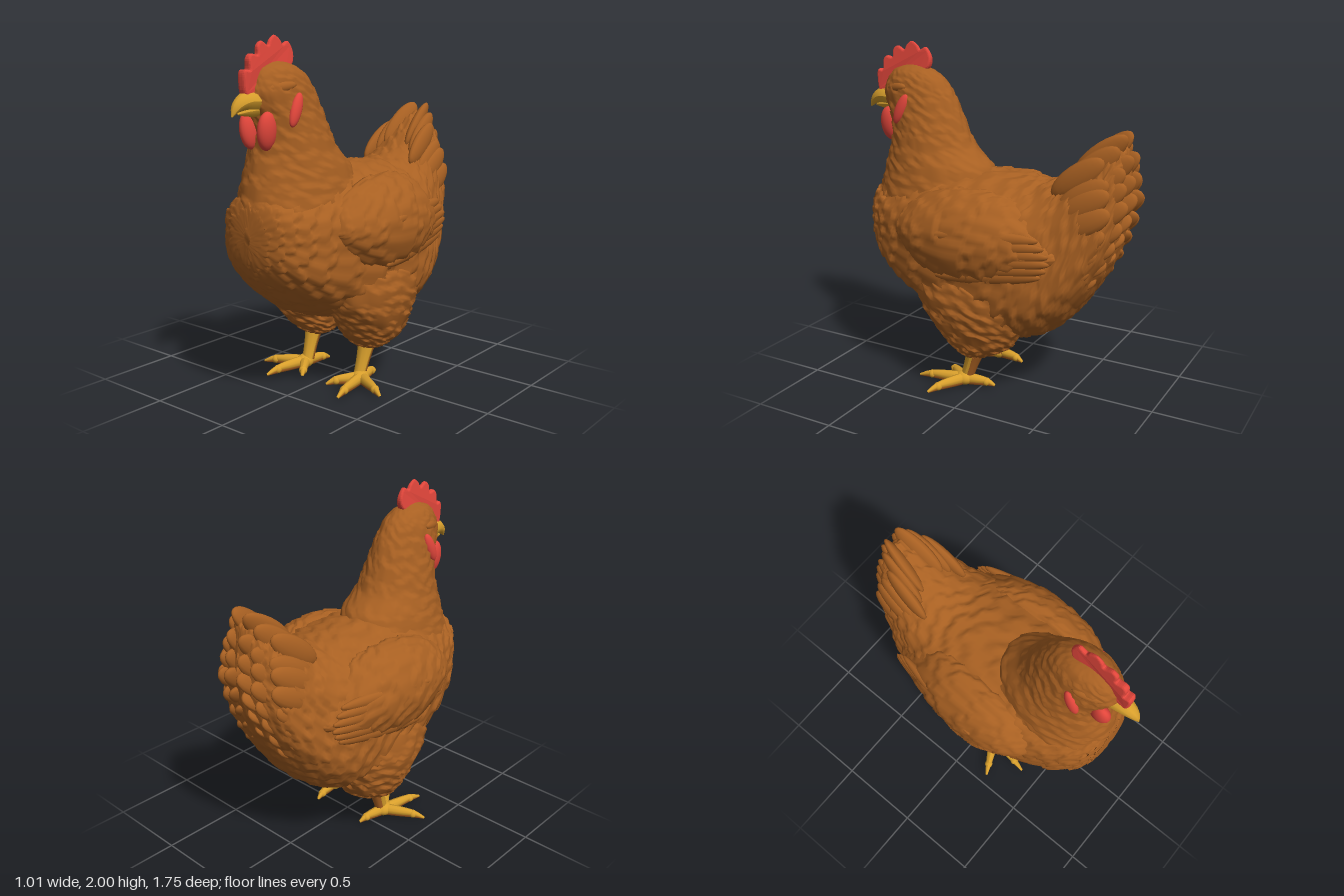
import * as THREE from 'three';

const flat = (name, color) => {
  const m = new THREE.MeshStandardMaterial({ color });
  m.name = name;
  return m;
};

// Staggered, slightly wandering overlapping scallops, 0..1
function scallop(along, around, rows, cols) {
  const s = along * rows + 0.45 * Math.sin(around * Math.PI * 6 + along * 11) + 0.3 * Math.sin(around * Math.PI * 14);
  const row = Math.floor(s);
  const c = around * cols + (row % 2) * 0.5;
  const x = c - Math.floor(c) - 0.5;
  const e = s + x * x * 1.6;
  return e - Math.floor(e);
}

// Skin over oval sections [position, high, low, halfWidth, centreX] along y or z
function loft(axis, sections, { rows = 12, cols = 20, amp = 0.014, shape = null, n = 84, m = 72 } = {}) {
  const a = new THREE.CatmullRomCurve3(sections.map(s => new THREE.Vector3(s[0], s[1], s[2])), false, 'catmullrom', 0.4);
  const b = new THREE.CatmullRomCurve3(sections.map(s => new THREE.Vector3(s[3], s[4] || 0, 0)), false, 'catmullrom', 0.4);
  const pos = [], idx = [];
  for (let i = 0; i <= n; i++) {
    const p = a.getPoint(i / n), q = b.getPoint(i / n);
    const mid = (p.y + p.z) / 2, half = Math.abs(p.y - p.z) / 2, w = Math.max(q.x, 0.004);
    for (let j = 0; j < m; j++) {
      const t = (j / m) * Math.PI * 2, cos = Math.cos(t), sin = Math.sin(t);
      const d = amp * Math.min(1, w / 0.14) * (scallop(i / n, j / m, rows, cols) - 0.5);
      let x = (w + d) * sin, h = mid + (half + d) * cos;
      if (shape) x = shape(x, cos, p.x);
      x += q.y;
      if (axis === 'y') pos.push(x, p.x, h);
      else pos.push(x, h, p.x);
      if (i < n) {
        const k = i * m + j, l = i * m + (j + 1) % m;
        idx.push(k, l, k + m, l, l + m, k + m);
      }
    }
  }
  const g = new THREE.BufferGeometry();
  g.setAttribute('position', new THREE.Float32BufferAttribute(pos, 3));
  g.setIndex(idx);
  g.computeVertexNormals();
  return g;
}

// Tube that narrows from r0 to r1
function taperTube(points, r0, r1, n = 12) {
  const curve = new THREE.CatmullRomCurve3(points.map(p => new THREE.Vector3(...p)));
  const g = new THREE.TubeGeometry(curve, n, 1, 10);
  const P = g.attributes.position, v = new THREE.Vector3();
  for (let i = 0; i < P.count; i++) {
    const t = Math.floor(i / 11) / n, c = curve.getPointAt(t);
    v.fromBufferAttribute(P, i).sub(c).multiplyScalar(r0 + (r1 - r0) * t * t).add(c);
    P.setXYZ(i, v.x, v.y, v.z);
  }
  g.computeVertexNormals();
  return g;
}

export function createModel() {
  const hen = new THREE.Group();
  hen.name = 'hen';
  const brown = flat('brown feathers', 0xa86022);
  const red = flat('red skin', 0xe2463b);
  const gold = flat('golden horn', 0xd89f2c);

  const add = (name, geo, mat) => {
    const mesh = new THREE.Mesh(geo, mat);
    mesh.name = name;
    hen.add(mesh);
    return mesh;
  };
  const blob = (name, mat, c, r, rot = [0, 0, 0]) => {
    const mesh = add(name, new THREE.SphereGeometry(1, 20, 14), mat);
    mesh.position.set(...c);
    mesh.scale.set(...r);
    mesh.rotation.set(...rot);
  };
  // Flattened feather from base to tip, its flat side facing "out"
  const feather = (name, base, tip, width, thick, out) => {
    const p = new THREE.Vector3(...base), q = new THREE.Vector3(...tip);
    const y = q.clone().sub(p), len = y.length();
    y.normalize();
    const x = y.clone().cross(new THREE.Vector3(...out)).normalize();
    const z = x.clone().cross(y);
    const mesh = add(name, new THREE.SphereGeometry(1, 14, 12), brown);
    mesh.position.copy(p.add(q).multiplyScalar(0.5));
    mesh.quaternion.setFromRotationMatrix(new THREE.Matrix4().makeBasis(x, y, z));
    mesh.scale.set(width, len / 2, thick);
  };

  // Body, full at shoulders and belly, rising into a tent-shaped tail
  add('body', loft('z', [
    [0.79, 1.0, 0.92, 0.02], [0.775, 1.12, 0.82, 0.13], [0.73, 1.18, 0.73, 0.22], [0.62, 1.2, 0.61, 0.3],
    [0.47, 1.24, 0.5, 0.355], [0.28, 1.28, 0.43, 0.4], [0.05, 1.29, 0.37, 0.42], [-0.18, 1.28, 0.33, 0.42],
    [-0.32, 1.27, 0.355, 0.395], [-0.45, 1.315, 0.44, 0.345], [-0.56, 1.405, 0.56, 0.295], [-0.66, 1.485, 0.71, 0.245],
    [-0.74, 1.525, 0.86, 0.2], [-0.79, 1.49, 1.02, 0.135], [-0.815, 1.36, 1.16, 0.02]],
  { rows: 17, cols: 24, amp: 0.022, n: 120, m: 104,
    shape: (x, cos, z) => x * (1 + 0.45 * cos * cos * (1 - cos * cos)) *
      (1 - cos * THREE.MathUtils.clamp((-z - 0.25) * 0.9, 0, 0.3)) }), brown);

  // Neck and head
  add('neckAndHead', loft('y', [
    [0.8, 0.75, 0.15, 0.3], [0.95, 0.785, 0.1, 0.315], [1.1, 0.775, 0.04, 0.29], [1.2, 0.755, 0.01, 0.268],
    [1.3, 0.73, 0.05, 0.24], [1.4, 0.7, 0.155, 0.208], [1.5, 0.69, 0.205, 0.185], [1.6, 0.715, 0.245, 0.16],
    [1.7, 0.75, 0.29, 0.138], [1.78, 0.725, 0.345, 0.115], [1.835, 0.68, 0.42, 0.08], [1.865, 0.6, 0.51, 0.02],
    [1.867, 0.56, 0.55, 0.004]], { rows: 13, cols: 16, amp: 0.013 }), brown);

  // Beak
  add('upperBeak', taperTube([[0, 1.668, 0.7], [0, 1.667, 0.79], [0, 1.64, 0.845], [0, 1.595, 0.878]], 0.058, 0.003), gold);
  add('lowerBeak', taperTube([[0, 1.625, 0.7], [0, 1.618, 0.78], [0, 1.607, 0.84]], 0.038, 0.003), gold);

  // Comb with rounded points, thinner towards the top
  const outline = [[0.5, 1.83], [0.45, 1.85], [0.436, 1.91], [0.468, 1.965], [0.51, 1.95], [0.53, 1.975],
    [0.568, 1.997], [0.6, 1.975], [0.62, 1.945], [0.665, 1.967], [0.695, 1.945], [0.7, 1.9], [0.745, 1.905],
    [0.765, 1.88], [0.765, 1.825], [0.8, 1.825], [0.808, 1.78], [0.795, 1.7], [0.74, 1.7]];
  const shape = new THREE.Shape(new THREE.SplineCurve(outline.map(([z, y]) => new THREE.Vector2(-z, y))).getPoints(90));
  const comb = new THREE.ExtrudeGeometry(shape, {
    depth: 0.02, bevelEnabled: true, bevelSize: 0.012, bevelOffset: -0.01, bevelThickness: 0.018, bevelSegments: 3 });
  comb.translate(0, 0, -0.01);
  const cp = comb.attributes.position;
  for (let i = 0; i < cp.count; i++) {
    cp.setZ(i, cp.getZ(i) * THREE.MathUtils.clamp(1 - (cp.getY(i) - 1.82) * 4, 0.3, 1));
  }
  comb.computeVertexNormals();
  comb.rotateY(Math.PI / 2);
  add('comb', comb, red);

  // Tail feather tips [z, y, spread]
  const tailTips = [[-0.8, 1.57, 0.06], [-0.84, 1.46, 0.075], [-0.855, 1.35, 0.09], [-0.87, 1.25, 0.1],
    [-0.845, 1.13, 0.1], [-0.81, 1.02, 0.1], [-0.765, 0.91, 0.1], [-0.71, 0.81, 0.1]];

  for (const s of [1, -1]) {
    // Face
    blob('brow', brown, [s * 0.095, 1.735, 0.62], [0.026, 0.03, 0.09], [0.15, -s * 0.35, 0]);
    blob('wattle', red, [s * 0.063, 1.515, 0.695], [0.041, 0.102, 0.062], [0.05, 0, -s * 0.1]);
    blob('earLobe', red, [s * 0.143, 1.62, 0.56], [0.026, 0.095, 0.036], [-0.42, 0, s * 0.05]);

    // Wing, curving in at its upper and lower edges
    add('wing', loft('z', [
      [0.47, 1.0, 0.95, 0.02, s * 0.33], [0.43, 1.1, 0.86, 0.07, s * 0.335], [0.3, 1.18, 0.75, 0.12, s * 0.35],
      [0.1, 1.235, 0.67, 0.15, s * 0.35], [-0.1, 1.235, 0.67, 0.15, s * 0.34], [-0.25, 1.19, 0.71, 0.135, s * 0.32],
      [-0.4, 1.08, 0.77, 0.1, s * 0.3], [-0.5, 0.99, 0.85, 0.05, s * 0.29], [-0.54, 0.93, 0.91, 0.01, s * 0.285]],
    { rows: 9, cols: 16, amp: 0.018, shape: (x, cos) => x - s * 0.06 * cos * cos }), brown);
    for (let i = 0; i < 6; i++) {
      feather('flightFeather', [s * (0.435 + 0.01 * i), 0.76 + i * 0.05, 0.16],
        [s * 0.37, 0.83 + i * 0.04, -0.47 - 0.05 * Math.sin(i * 0.7)], 0.045, 0.032, [s, -0.15, -0.2]);
    }

    // Tail fan
    tailTips.forEach(([z, y, spread], i) => {
      for (let k = 0; k < 3; k++) {
        const x = 0.045 + k * spread * 0.8;
        const tz = z + k * k * 0.022, ty = y - k * (i < 2 ? 0.06 : 0.03);
        feather('tailFeather', [s * (x + 0.03), 0.75 * ty + 0.15, tz + 0.28], [s * x, ty, tz],
          0.072, 0.036, [s * (0.15 + 0.45 * k), 0.4, -0.6]);
      }
    });

    // Thigh, blending into the flank
    add('thigh', loft('y', [
      [0.2, 0.05, -0.02, 0.03, s * 0.2], [0.24, 0.11, -0.09, 0.115, s * 0.2], [0.31, 0.19, -0.21, 0.165, s * 0.212],
      [0.42, 0.28, -0.27, 0.19, s * 0.23], [0.55, 0.37, -0.33, 0.203, s * 0.238], [0.7, 0.38, -0.34, 0.165, s * 0.25],
      [0.85, 0.2, -0.1, 0.03, s * 0.28]], { rows: 8, cols: 16, amp: 0.02, n: 60 }), brown);

    // Leg with a brown back
    const shank = (name, back, r, mat) => add(name, taperTube(
      [[s * 0.2, 0.05, 0.1 - back], [s * 0.203, 0.15, 0.065 - back], [s * 0.205, 0.28, 0.02 - back]], r, r + 0.026), mat);
    shank('shank', 0, 0.034, gold);
    shank('shankBack', 0.016, 0.03, brown);
    blob('foot', gold, [s * 0.213, 0.045, 0.105], [0.05, 0.042, 0.058]);

    // Toes with claws, gold above and brown beneath
    for (const [x, z] of [[0.445, 0.22], [0.27, 0.385], [0.092, 0.27], [0.18, -0.085]]) {
      const at = (t, y) => [s * (0.215 + (x - 0.215) * t), y, 0.1 + (z - 0.1) * t];
      const toe = (drop, r) => taperTube([at(0, 0.046 - drop), at(0.4, 0.046 - drop), at(0.75, 0.043 - drop), at(1, 0.022)], r, 0.007);
      add('toe', toe(0, 0.032), gold);
      add('toeSole', toe(0.012, 0.028), brown);
      blob('toePad', gold, at(0.72, 0.039), [0.025, 0.025, 0.025]);
    }
  }
  return hen;
}
